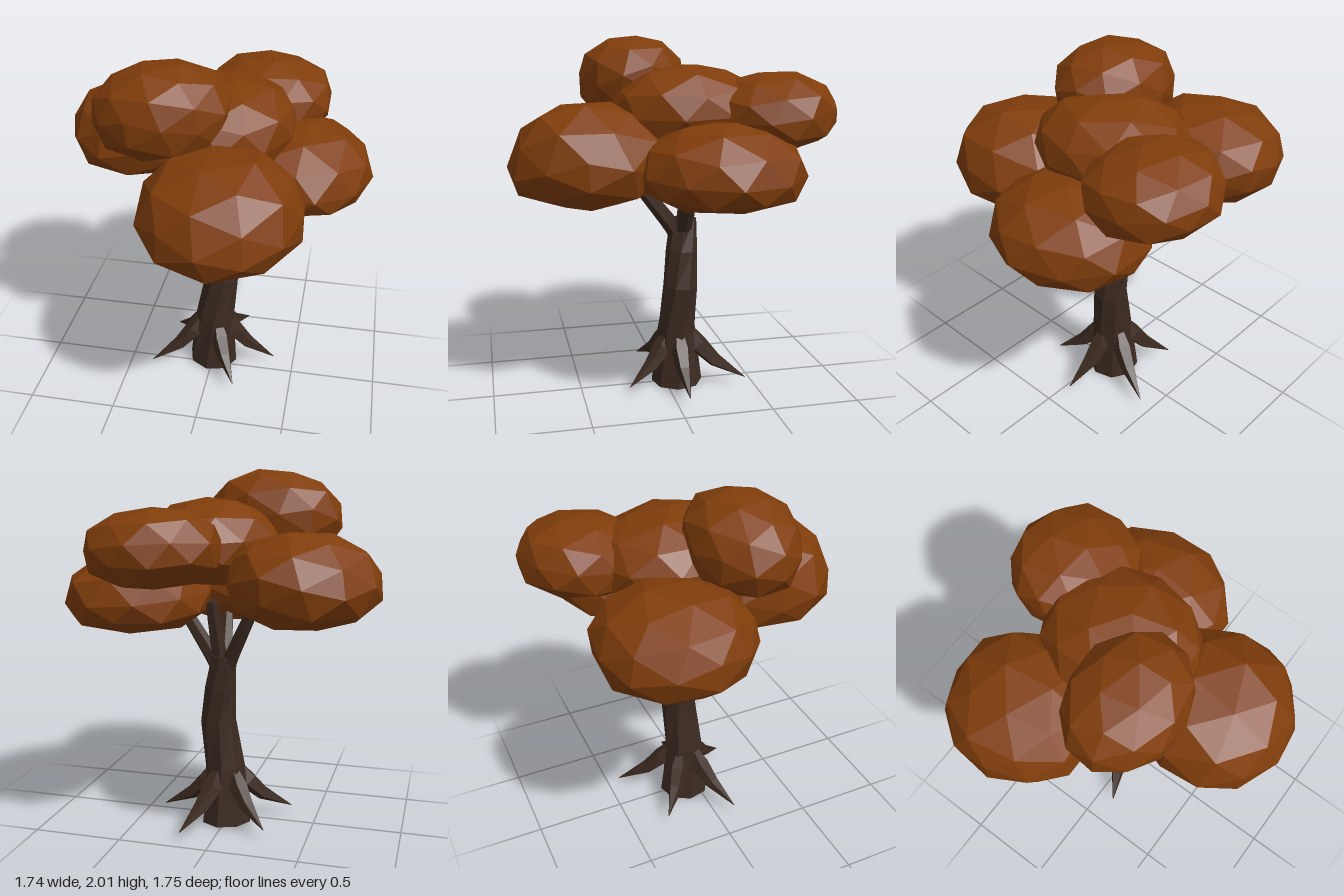
import * as THREE from 'three';

const bark = new THREE.MeshStandardMaterial({ color: 0x3b2a20 });
bark.name = 'dark bark';
const foliage = new THREE.MeshStandardMaterial({ color: 0x803d0b });
foliage.name = 'autumn foliage';

// Faceted limb swept through rows of [x, y, z, radius], with a twist per row
function limb(name, rows, sides, twist = 0) {
  const pts = rows.map(([x, y, z]) => new THREE.Vector3(x, y, z));
  const net = pts[pts.length - 1].clone().sub(pts[0]);
  const ref = new THREE.Vector3(-net.z, 0, net.x).normalize();
  const rings = pts.map((p, i) => {
    const t = pts[Math.min(i + 1, pts.length - 1)].clone().sub(pts[Math.max(i - 1, 0)]).normalize();
    const u = new THREE.Vector3().crossVectors(t, ref).normalize();
    const v = new THREE.Vector3().crossVectors(t, u);
    return Array.from({ length: sides }, (_, j) => {
      const a = (j / sides) * Math.PI * 2 + i * twist;
      return p.clone()
        .addScaledVector(u, Math.cos(a) * rows[i][3])
        .addScaledVector(v, Math.sin(a) * rows[i][3]);
    });
  });
  const tris = [];
  const last = rings.length - 1;
  for (let j = 0; j < sides; j++) {
    const k = (j + 1) % sides;
    for (let i = 0; i < last; i++) {
      const [a, b] = [rings[i], rings[i + 1]];
      tris.push(a[j], a[k], b[k], a[j], b[k], b[j]);
    }
    tris.push(pts[0], rings[0][k], rings[0][j], pts[last], rings[last][j], rings[last][k]);
  }
  const geometry = new THREE.BufferGeometry().setFromPoints(tris);
  geometry.computeVertexNormals();
  const mesh = new THREE.Mesh(geometry, bark);
  mesh.name = name;
  return mesh;
}

// Faceted clump of leaves with a domed top and a fuller, flatter underside;
// its size is [x radius, height above centre, depth below centre, z radius]
function clump(name, center, [rx, up, down, rz], turn, tiltX, tiltZ) {
  const geometry = new THREE.IcosahedronGeometry(1, 1);
  geometry.rotateX(turn).rotateY(turn * 1.7);
  const pos = geometry.attributes.position;
  const v = new THREE.Vector3();
  for (let i = 0; i < pos.count; i++) {
    v.fromBufferAttribute(pos, i);
    const p = v.y < 0 ? 2.8 : 2.15;
    const swell = (Math.hypot(v.x, v.z) ** p + Math.abs(v.y) ** p) ** (-1 / p);
    v.multiplyScalar(swell * (1.005 + 0.02 * Math.sin(v.x * 5 + v.y * 7 + v.z * 3 + turn * 4)));
    pos.setXYZ(i, v.x * rx, v.y * (v.y < 0 ? down : up), v.z * rz);
  }
  geometry.rotateX(tiltX).rotateZ(tiltZ);
  geometry.computeVertexNormals();
  const mesh = new THREE.Mesh(geometry, foliage);
  mesh.name = name;
  mesh.position.set(...center);
  return mesh;
}

export function createModel() {
  const tree = new THREE.Group();
  tree.name = 'tree';

  // Gently bent, twisting trunk
  tree.add(limb('trunk', [
    [0, 0, -0.07, 0.148],
    [0.01, 0.33, -0.065, 0.115],
    [0.045, 0.6, -0.08, 0.1],
    [0.03, 0.8, -0.09, 0.09],
    [0.005, 0.99, -0.105, 0.076],
  ], 8, 0.22));

  // Flaring pointed roots, placed by their tips
  const roots = new THREE.Group();
  roots.name = 'roots';
  for (const [x, z] of [[0.38, -0.06], [0.17, 0.24], [-0.35, 0.105], [-0.27, -0.29], [0.17, -0.44]]) {
    const at = (f, y, r) => [x * f, y, -0.07 + (z + 0.07) * f, r];
    roots.add(limb('root', [
      at(0.18, 0.32, 0.03), at(0.32, 0.23, 0.056), at(0.56, 0.14, 0.042), at(1, 0.05, 0.002),
    ], 5));
  }
  tree.add(roots);

  // Branches reaching up into the leaves
  const branches = new THREE.Group();
  branches.name = 'branches';
  for (const [x, y, z] of [[-0.17, 1.25, -0.18], [0.22, 1.21, -0.1], [0.06, 1.21, 0.17], [0.06, 1.3, -0.16]]) {
    branches.add(limb('branch', [
      [0.01, 0.86, -0.095, 0.05],
      [0.01 + x * 0.32, 0.99, -0.095 + (z + 0.095) * 0.35, 0.046],
      [x, y, z, 0.037],
    ], 6));
  }
  tree.add(branches);

  // Leaf clumps
  const crown = new THREE.Group();
  crown.name = 'crown';
  crown.add(
    clump('rightClump', [-0.475, 1.45, -0.325], [0.4, 0.25, 0.235, 0.415], 0.4, 0, 0.02),
    clump('leftClump', [0.46, 1.325, -0.2], [0.405, 0.26, 0.185, 0.435], 1.1, 0, -0.03),
    clump('backClump', [0.25, 1.615, -0.54], [0.355, 0.205, 0.2, 0.345], 2.0, 0.06, -0.06),
    clump('frontClump', [0.13, 1.345, 0.445], [0.43, 0.33, 0.235, 0.425], 2.7, 0.03, 0.06),
    clump('topClump', [-0.235, 1.765, 0.15], [0.365, 0.235, 0.235, 0.3], 3.5, 0.04, 0.1),
    clump('middleClump', [0.06, 1.615, -0.11], [0.38, 0.24, 0.225, 0.43], 4.3, 0, 0),
  );
  tree.add(crown);
  return tree;
}
